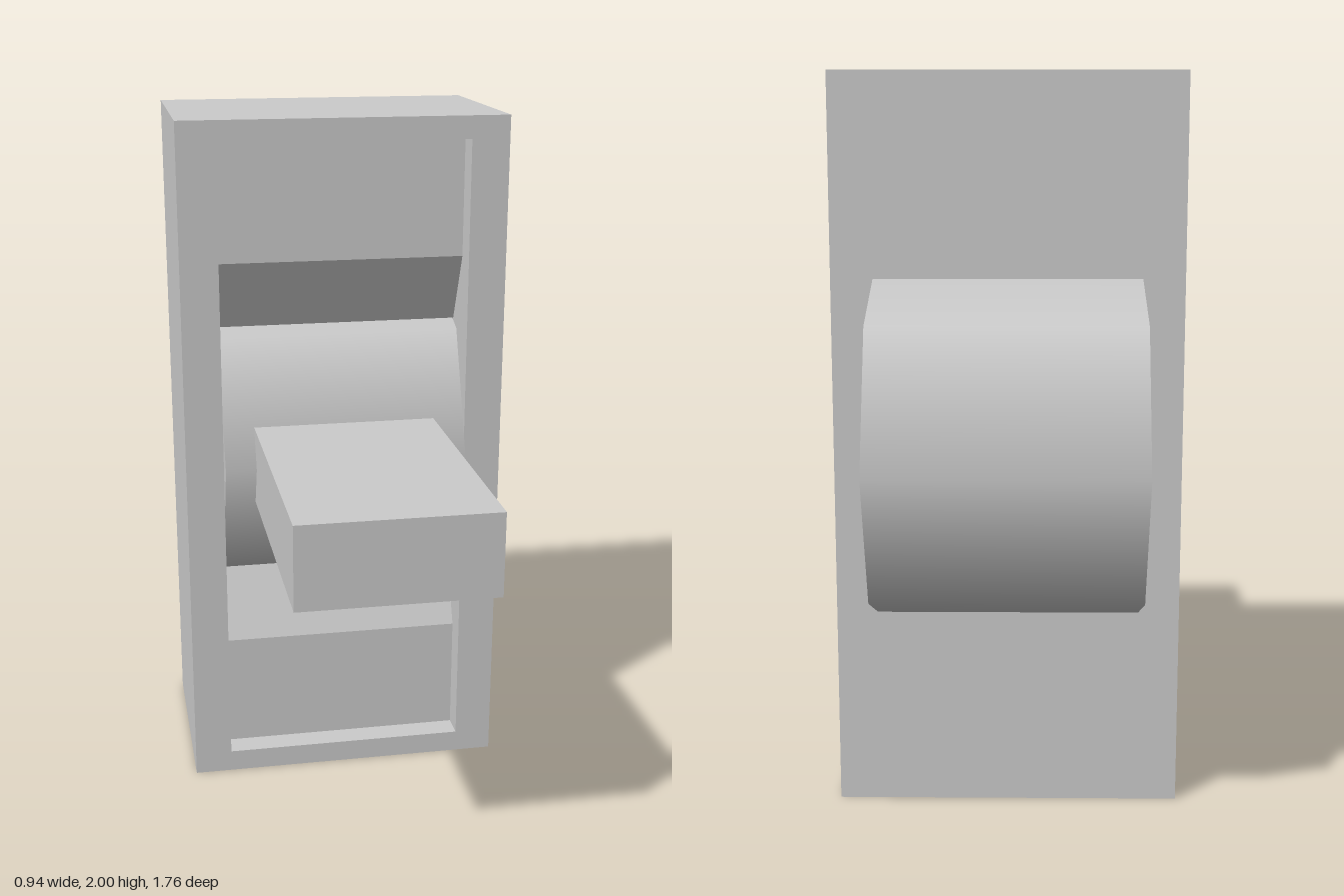
import * as THREE from 'three';

export function createModel() {
  const group = new THREE.Group();
  const grey = new THREE.MeshStandardMaterial({ color: 0xcccccc });
  const add = (name, geometry, x = 0, y = 0, z = 0) => {
    const mesh = new THREE.Mesh(geometry, grey);
    mesh.name = name;
    mesh.position.set(x, y, z);
    group.add(mesh);
    return mesh;
  };
  const W = 0.47, H = 2, BACK = -0.495, FRONT = 0.105;
  const w = 0.36, bottom = 0.065, top = 1.935;

  // Housing: a box without its front face
  const box = new THREE.BoxGeometry(2 * W, H, FRONT - BACK);
  const index = Array.from(box.index.array);
  index.splice(24, 6);
  box.setIndex(index);
  box.clearGroups();
  add('housing', box, 0, H / 2, (FRONT + BACK) / 2);

  // Front rim around the recess
  const rect = (hw, y0, y1) => [[-hw, y0], [hw, y0], [hw, y1], [-hw, y1]].map(p => new THREE.Vector2(...p));
  const rim = new THREE.Shape(rect(W, 0, H));
  rim.holes.push(new THREE.Path(rect(w, bottom, top)));
  add('frontRim', new THREE.ShapeGeometry(rim), 0, 0, FRONT);

  // Recess floor: (z, y) profile from top to bottom, sloping in behind the drum
  const half = [[FRONT, top], [0.03, top], [0.03, 1.59], [-0.11, 1.27]];
  const profile = [...half, ...half.map(([z, y]) => [z, 2 - y]).reverse()];
  const floor = [];
  for (let i = 0; i < profile.length - 1; i++) {
    const [pz, py] = profile[i], [qz, qy] = profile[i + 1];
    floor.push(-w, py, pz, -w, qy, qz, w, qy, qz, -w, py, pz, w, qy, qz, w, py, pz);
  }
  const floorGeometry = new THREE.BufferGeometry();
  floorGeometry.setAttribute('position', new THREE.Float32BufferAttribute(floor, 3));
  floorGeometry.computeVertexNormals();
  add('recessFloor', floorGeometry);

  // Recess side walls, facing inward
  for (const s of [1, -1]) {
    const shape = new THREE.Shape(profile.map(([z, y]) => new THREE.Vector2(s * z, y)));
    const wall = new THREE.ShapeGeometry(shape).rotateY(-s * Math.PI / 2);
    add(s > 0 ? 'leftRecessWall' : 'rightRecessWall', wall, s * w);
  }

  // Eight-sided, smooth-shaded pivot drum passing through the housing
  const drum = new THREE.CylinderGeometry(0.51, 0.51, 0.715, 8).rotateZ(Math.PI / 2);
  add('pivotDrum', drum, 0, 1.003, -0.37);

  // Switch lever
  add('lever', new THREE.BoxGeometry(0.535, 0.23, 0.98), 0, 1.003, 0.39);

  return group;
}
